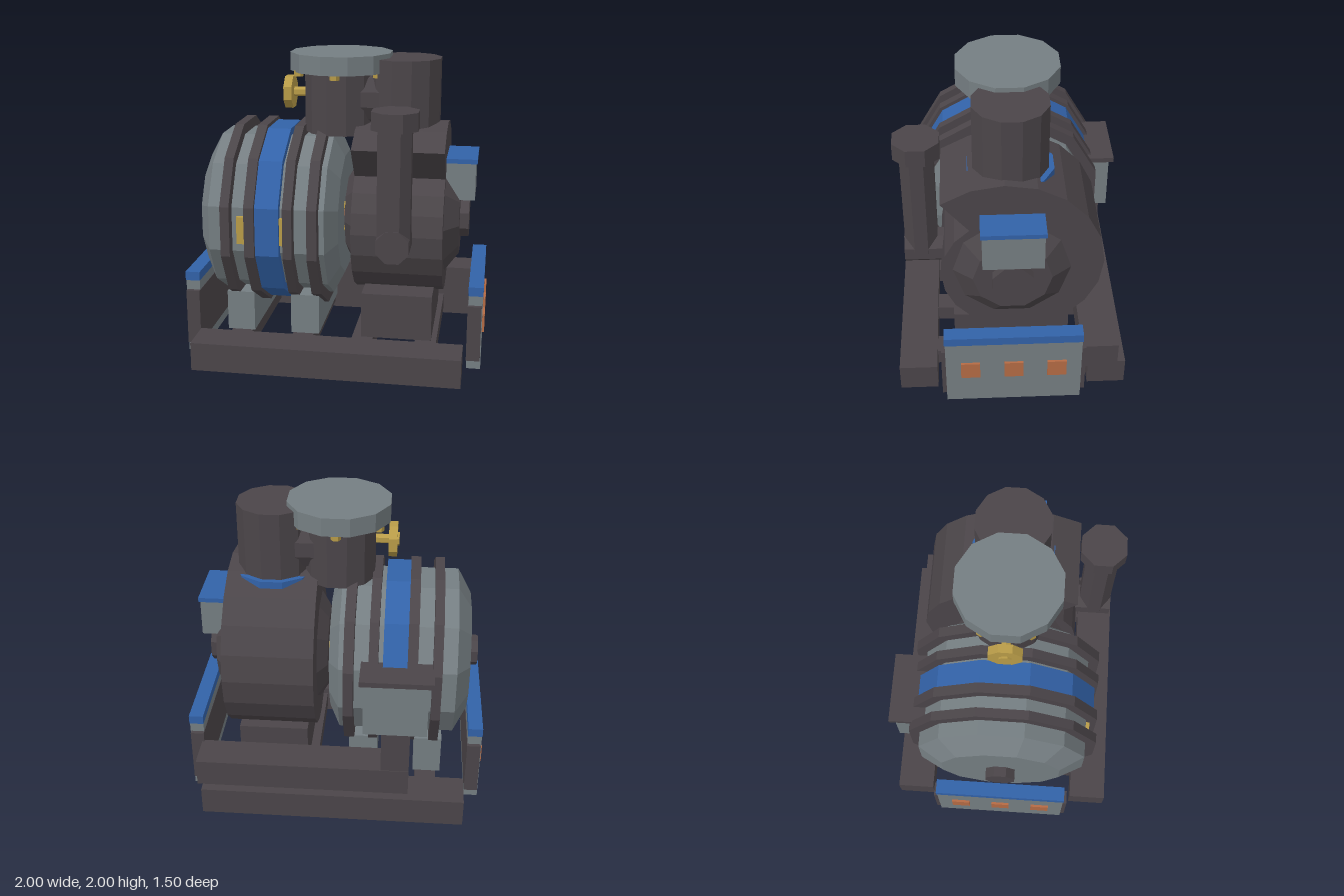
import * as THREE from 'three';

const paint = (name, color) => {
  const m = new THREE.MeshStandardMaterial({ color });
  m.name = name;
  return m;
};

export function createModel() {
  const model = new THREE.Group();
  const iron = paint('dark iron', 0x4b4549);
  const steel = paint('grey steel', 0x757e82);
  const blue = paint('blue', 0x3262a8);
  const brass = paint('brass', 0xb99c48);
  const copper = paint('copper', 0xb56b45);

  const add = (name, geo, mat) => {
    const flat = geo.index ? geo.toNonIndexed() : geo;
    flat.computeVertexNormals();
    const mesh = new THREE.Mesh(flat, mat);
    mesh.name = name;
    model.add(mesh);
    return mesh;
  };
  // Box given by its limits on each axis
  const box = (name, mat, [x0, x1], [y0, y1], [z0, z1]) =>
    add(name, new THREE.BoxGeometry(x1 - x0, y1 - y0, z1 - z0)
      .translate((x0 + x1) / 2, (y0 + y1) / 2, (z0 + z1) / 2), mat);
  // Prism with flat sides at distance r from its axis
  const prism = (r, length, n) =>
    new THREE.CylinderGeometry(r / Math.cos(Math.PI / n), r / Math.cos(Math.PI / n), length, n, 1, false, Math.PI / n);
  const upright = (name, mat, r, y0, y1, x, z, n) =>
    add(name, prism(r, y1 - y0, n).translate(x, (y0 + y1) / 2, z), mat);
  const alongX = (name, mat, r, x0, x1, y, z, n) =>
    add(name, prism(r, x1 - x0, n).rotateZ(-Math.PI / 2).translate((x0 + x1) / 2, y, z), mat);
  // Turned body on the x axis from [radius, x] pairs
  const axisY = 0.91;
  const turned = (name, mat, profile, n, phase) =>
    add(name, new THREE.LatheGeometry(profile.map(p => new THREE.Vector2(...p)), n, phase)
      .rotateZ(-Math.PI / 2).translate(0, axisY, 0), mat);

  // Base frame
  for (const s of [-1, 1]) {
    box('baseRail', iron, [-0.875, 0.87], [0, 0.19], s > 0 ? [0.5, 0.75] : [-0.75, -0.5]);
  }
  for (const x of [-0.62, -0.2, 0.2, 0.62]) {
    box('crossBeam', iron, [x - 0.07, x + 0.07], [0.04, 0.15], [-0.52, 0.52]);
  }
  for (const [x0, x1] of [[-0.72, -0.535], [-0.285, -0.095]]) {
    box('motorFoot', steel, [x0, x1], [0.15, 0.42], [-0.38, 0.38]);
  }
  box('blowerPedestal', iron, [0.19, 0.655], [0.15, 0.455], [-0.38, 0.38]);

  // Motor drum with bands and hub
  turned('motorDrum', steel,
    [[0, -0.875], [0.4, -0.875], [0.562, -0.785], [0.562, -0.03], [0.42, 0.04], [0, 0.04]], 12, Math.PI / 12);
  for (const [x0, x1] of [[-0.69, -0.63], [-0.535, -0.47], [-0.285, -0.225], [-0.13, -0.065]]) {
    alongX('motorBand', iron, 0.613, x0, x1, axisY, 0, 12);
  }
  alongX('blueBand', blue, 0.59, -0.47, -0.315, axisY, 0, 12);
  alongX('motorHub', iron, 0.095, -0.94, -0.87, axisY, 0, 8);
  box('ratingPlate', brass, [-0.595, -0.285], [0.82, 1.0], [0.53, 0.57]);

  // Coupling between motor and blower
  alongX('coupling', copper, 0.14, 0.02, 0.09, axisY, 0, 12);
  for (let i = 0; i < 6; i++) {
    const a = i * Math.PI / 3;
    alongX('couplingBolt', brass, 0.025, 0.03, 0.07, axisY + 0.15 * Math.cos(a), 0.15 * Math.sin(a), 6);
  }

  // Spiral blower casing, its radius shrinking over one turn
  const spiral = new THREE.Shape();
  const steps = 20;
  for (let i = 0; i <= steps; i++) {
    const t = i / steps;
    const a = (50 + 360 * t) * Math.PI / 180;
    const r = 0.68 - 0.27 * t;
    spiral[i ? 'lineTo' : 'moveTo'](-r * Math.cos(a), r * Math.sin(a));
  }
  add('blowerCasing', new THREE.ExtrudeGeometry(spiral, { depth: 0.59, bevelEnabled: false })
    .rotateY(Math.PI / 2).translate(0.125, axisY, 0), iron);
  turned('blowerEndCovers', iron,
    [[0, 0.06], [0.27, 0.06], [0.375, 0.125], [0.375, 0.715], [0.25, 0.81], [0, 0.81]], 10, 0);
  alongX('blowerHub', iron, 0.127, 0.8, 0.87, axisY, 0, 8);
  box('terminalBox', steel, [0.7, 0.905], [1.07, 1.32], [-0.19, 0.19]);
  box('terminalBoxLid', blue, [0.715, 0.915], [1.315, 1.345], [-0.2, 0.2]);

  // Outlet stack, inlet pot and the pipe joining them
  upright('outletStack', iron, 0.235, 1.45, 1.97, 0.42, 0, 12);
  upright('stackCollar', blue, 0.27, 1.4, 1.52, 0.42, 0, 12);
  upright('inletPot', iron, 0.235, 1.475, 1.9, 0, 0, 12);
  alongX('joiningPipe', iron, 0.185, 0, 0.42, 1.71, 0, 12);
  upright('inletFlange', steel, 0.328, 1.88, 2, 0, 0, 12);
  for (let i = 0; i < 6; i++) {
    const a = i * Math.PI / 3;
    upright('flangeBolt', brass, 0.028, 1.85, 1.89, 0.3 * Math.sin(a), 0.3 * Math.cos(a), 6);
  }
  alongX('valveStem', brass, 0.028, -0.36, -0.22, 1.725, 0, 6);
  alongX('valveWheel', brass, 0.105, -0.375, -0.32, 1.725, 0, 8);
  alongX('valveKnob', brass, 0.04, -0.387, -0.37, 1.725, 0, 8);

  // Exhaust pipe at the front
  add('exhaustElbow', prism(0.103, 0.3, 8).rotateX(Math.PI / 2).translate(0.42, 0.88, 0.535), iron);
  upright('exhaustPipe', iron, 0.105, 0.88, 1.62, 0.42, 0.575, 8);
  upright('exhaustCap', iron, 0.143, 1.605, 1.72, 0.42, 0.575, 8);

  // Cable duct and control box at the back
  box('cableDuct', iron, [-0.505, 0.905], [0.19, 0.375], [-0.69, -0.45]);
  box('controlPost', iron, [-0.505, -0.32], [0.37, 0.72], [-0.685, -0.5]);
  box('controlBox', steel, [-0.61, -0.2], [0.69, 1.07], [-0.72, -0.5]);
  box('controlBoxLid', iron, [-0.64, -0.175], [1.07, 1.105], [-0.75, -0.48]);

  // End panels
  for (const s of [-1, 1]) {
    const span = (a, b) => (s > 0 ? [a, b] : [-b, -a]);
    box('endPanel', steel, span(0.893, 0.985), [0, 0.51], [-0.44, 0.44]);
    box('endPanelBracket', iron, span(0.89, 0.98), [0.065, 0.44], [-0.467, 0.467]);
    box('endPanelTrim', blue, span(0.892, 0.988), [0.505, 0.565], [-0.445, 0.445]);
    for (const z of [-0.28, 0, 0.28]) {
      box('panelLight', copper, span(0.97, 1), [0.22, 0.345], [z - 0.062, z + 0.062]);
    }
  }
  return model;
}
